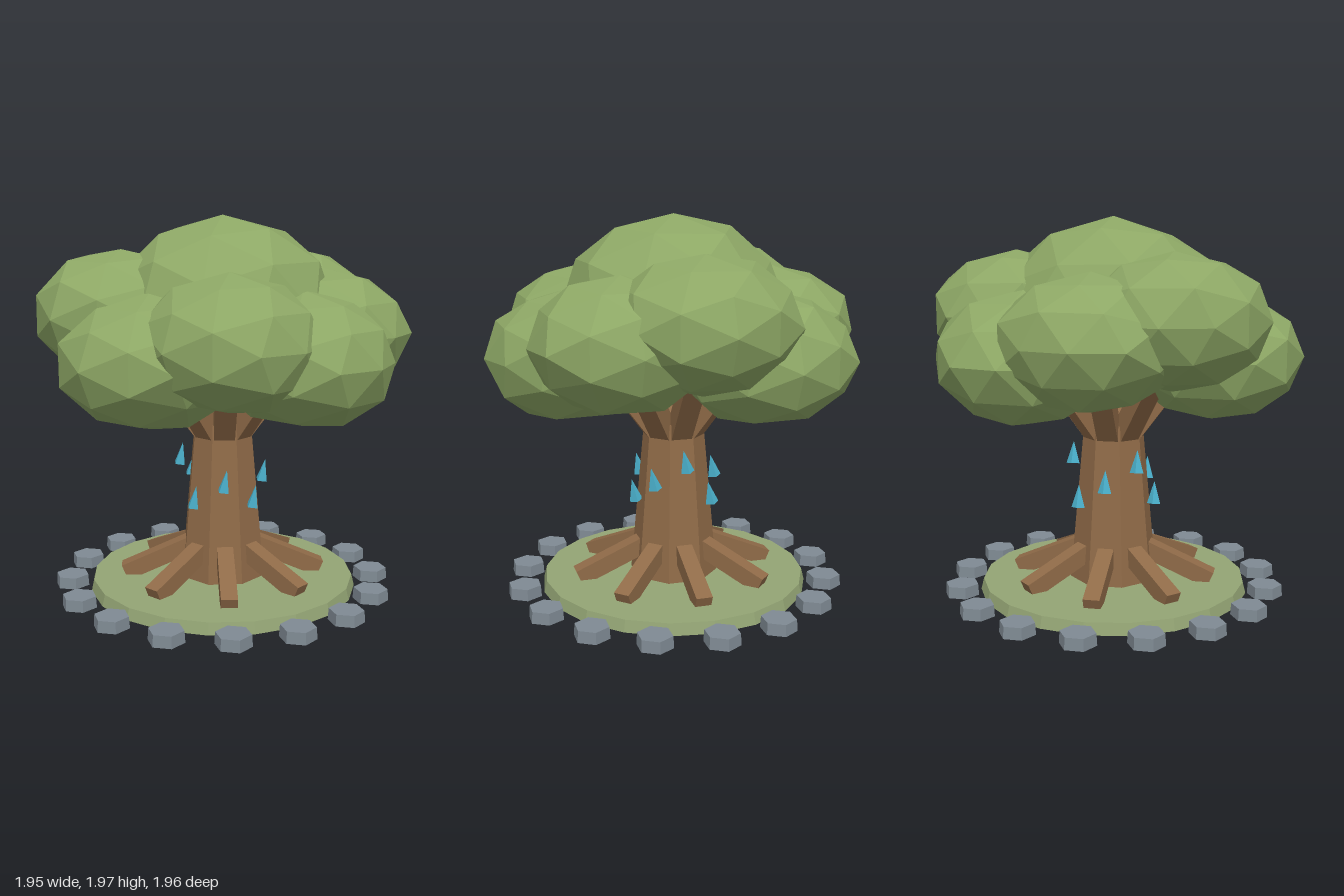
import * as THREE from 'three';

const mat = (name, color) => {
  const m = new THREE.MeshStandardMaterial({ color, flatShading: true });
  m.name = name;
  return m;
};

export function createModel() {
  const leaf = mat('leaf green', 0x8da765);
  const bark = mat('bark brown', 0x906b48);
  const grass = mat('grass green', 0x93a474);
  const stone = mat('stone grey', 0x7f8a93);
  const crystal = mat('crystal blue', 0x4ab0cb);

  const model = new THREE.Group();
  model.name = 'tree';
  model.position.x = -0.01;

  const add = (name, geometry, material, x = 0, y = 0, z = 0) => {
    const mesh = new THREE.Mesh(geometry, material);
    mesh.name = name;
    mesh.position.set(x, y, z);
    model.add(mesh);
    return mesh;
  };

  // Square beam in a radial plane, from (r0, y0) to (r1, y1), turned about the trunk
  const beam = (name, r0, y0, r1, y1, width, thick, angle) => {
    const length = Math.hypot(r1 - r0, y1 - y0);
    const g = new THREE.BoxGeometry(length, thick, width);
    g.rotateZ(Math.atan2(y1 - y0, r1 - r0));
    g.translate((r0 + r1) / 2, (y0 + y1) / 2, 0);
    g.rotateY(angle);
    add(name, g, bark);
  };

  // Faceted leaf clump with slightly uneven corners
  const clump = (name, r, ry, x, y, z, seed) => {
    const g = new THREE.IcosahedronGeometry(1, 1);
    const p = g.attributes.position;
    const v = new THREE.Vector3();
    for (let i = 0; i < p.count; i++) {
      v.fromBufferAttribute(p, i);
      const n = Math.sin(Math.round(v.x * 50) * 1.7 + Math.round(v.y * 50) * 2.3 + Math.round(v.z * 50) * 3.1 + seed);
      v.multiplyScalar(1 + 0.025 * n);
      p.setXYZ(i, v.x * r, v.y * ry, v.z * r);
    }
    g.computeVertexNormals();
    add(name, g, leaf, x, y, z);
  };

  // Grass disc and ring of stones
  add('grassDisc', new THREE.CylinderGeometry(0.7, 0.715, 0.06, 20), grass, 0, 0.03, 0);
  const stoneGeo = new THREE.CylinderGeometry(0.088, 0.092, 0.06, 6);
  for (let i = 0; i < 16; i++) {
    const a = (i * Math.PI) / 8;
    add('stone', stoneGeo, stone, 0.815 * Math.cos(a), 0.03, 0.815 * Math.sin(a));
  }

  // Eight-sided tapering trunk with a flat face to the front
  const trunk = new THREE.CylinderGeometry(0.157, 0.235, 0.85, 8);
  trunk.rotateY(Math.PI / 8);
  add('trunk', trunk, bark, 0, 0.475, 0);

  // Roots, branches, hanging crystals and outer leaf clumps, eight of each
  const crystalGeo = new THREE.ConeGeometry(0.036, 0.12, 4);
  for (let i = 0; i < 8; i++) {
    const a = (i * Math.PI) / 4;
    const c = Math.cos(a), s = -Math.sin(a), step = (i % 3) * 0.1;
    beam('root', 0.12, 0.245, 0.53, 0.07, 0.085, 0.09, a);
    beam('branch', 0.05, 0.77, 0.4, 1.24, 0.11, 0.1, a);
    add('crystal', crystalGeo, crystal, 0.22 * c, 0.525 + step, 0.22 * s).rotation.z = -0.2;
    clump('outerLeaves', 0.46, 0.335, 0.52 * c, 1.27 + step, 0.52 * s, i * 1.9);
  }

  // Top leaf clump
  clump('topLeaves', 0.58, 0.47, 0, 1.5, 0, 4.4);

  return model;
}
